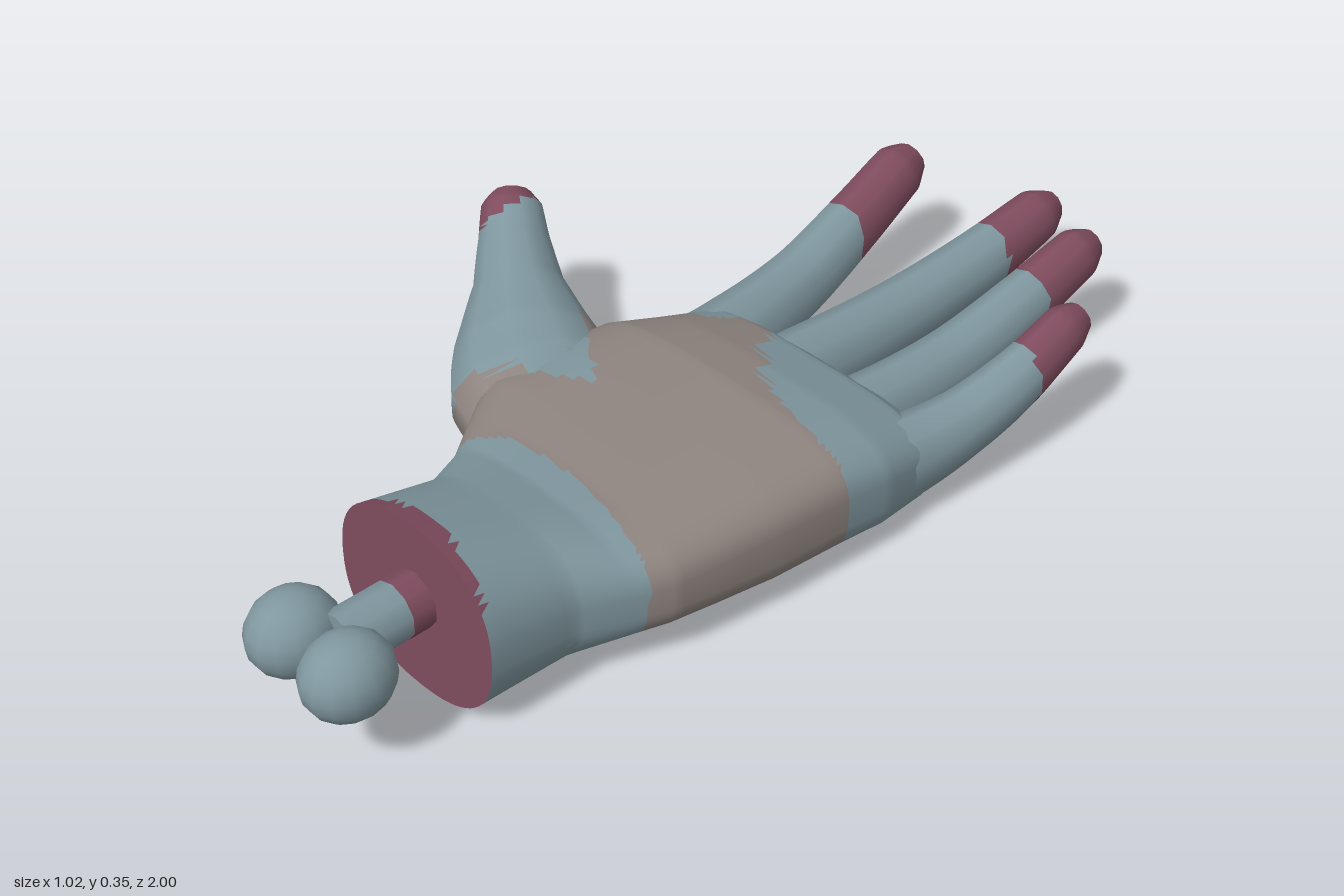
import * as THREE from 'three';

const mat = (name, color) => {
  const m = new THREE.MeshStandardMaterial({ color });
  m.name = name;
  return m;
};

// Skin a stack of rings; paint(point, ringFraction) picks the material slot of each triangle
function loft(rings, paint, startSlot, endSlot) {
  const n = rings[0].length, pos = [], slots = [[], [], []];
  const push = (p) => pos.push(p.x, p.y, p.z) / 3 - 1;
  rings.forEach((r) => r.forEach(push));
  const at = (i) => new THREE.Vector3().fromArray(pos, i * 3);
  const tri = (a, b, c, t) => {
    const mid = at(a).add(at(b)).add(at(c)).divideScalar(3);
    slots[paint(mid, t)].push(a, b, c);
  };
  for (let i = 0; i < rings.length - 1; i++) {
    const t = (i + 0.5) / (rings.length - 1);
    for (let j = 0; j < n; j++) {
      const k = (j + 1) % n, a = i * n + j, b = i * n + k;
      tri(a, b, a + n, t);
      tri(b, b + n, a + n, t);
    }
  }
  const cap = (ring, slot, flip) => {
    const mid = ring.reduce((s, p) => s.add(p), new THREE.Vector3()).divideScalar(n);
    const c = push(mid), ids = ring.map(push);
    ids.forEach((a, j) => {
      const b = ids[(j + 1) % n];
      slots[slot].push(c, flip ? b : a, flip ? a : b);
    });
  };
  cap(rings[0], startSlot, true);
  cap(rings[rings.length - 1], endSlot, false);

  const geo = new THREE.BufferGeometry();
  geo.setAttribute('position', new THREE.Float32BufferAttribute(pos, 3));
  geo.setIndex(slots.flat());
  let start = 0;
  slots.forEach((s, i) => {
    if (s.length) geo.addGroup(start, s.length, i);
    start += s.length;
  });
  geo.computeVertexNormals();
  return geo;
}

// Value of a list of numbers at fraction t, linear between entries
function sample(list, t) {
  const f = t * (list.length - 1), i = Math.min(Math.floor(f), list.length - 2);
  return THREE.MathUtils.lerp(list[i], list[i + 1], f - i);
}

// Outline of the tan patch on the back of the hand, as x, z
const patch = [
  [0.01, -0.26], [-0.02, -0.17], [-0.13, -0.14], [-0.2, -0.01], [-0.15, 0.04], [0.03, 0.17],
  [-0.19, 0.27], [-0.2, 0.32], [-0.06, 0.43], [0.05, 0.38], [0.2, 0.37], [0.4, 0.41],
  [0.52, 0.42], [0.52, 0], [0.38, -0.01], [0.25, -0.04], [0.17, -0.1], [0.08, -0.22],
];
function inPatch(x, z) {
  let inside = false;
  patch.forEach(([ax, az], i) => {
    const [bx, bz] = patch[(i + 1) % patch.length];
    if ((az > z) !== (bz > z) && x < ax + ((z - az) / (bz - az)) * (bx - ax)) inside = !inside;
  });
  return inside;
}

// 0 skin, 1 tan patch, 2 raw flesh
function skinPaint(p) {
  if (p.y > 0.27 && p.z > 0.67 + 0.25 * Math.abs(p.x - 0.195)) return 2;
  if (p.y > 0.17) return inPatch(p.x, p.z) ? 1 : 0;
  return p.z > 0 && p.z < 0.42 && p.x > -0.2 ? 1 : 0;
}

// Palm and wrist sections: z, x min, x max, y min, y max, squareness power
const sections = [
  [-0.26, -0.09, 0.45, 0.04, 0.18, 0.6],
  [-0.22, -0.11, 0.475, 0.008, 0.215, 0.6],
  [-0.1, -0.125, 0.492, 0.015, 0.255, 0.6],
  [0, -0.16, 0.488, 0.02, 0.275, 0.6],
  [0.15, -0.18, 0.478, 0.025, 0.275, 0.6],
  [0.27, -0.17, 0.465, 0.035, 0.272, 0.62],
  [0.37, -0.1, 0.452, 0.045, 0.268, 0.65],
  [0.44, -0.05, 0.425, 0.038, 0.272, 0.7],
  [0.54, 0, 0.388, 0.025, 0.3, 0.78],
  [0.72, 0.003, 0.388, 0.012, 0.36, 0.86],
];

function palmGeometry() {
  const rings = [], sides = 64, steps = 72;
  const power = (v, e) => Math.sign(v) * Math.abs(v) ** e;
  for (let i = 0; i <= steps; i++) {
    const [z, x0, x1, y0, y1, e] = sections[0].map((_, k) => sample(sections.map((s) => s[k]), i / steps));
    rings.push(Array.from({ length: sides }, (_, j) => {
      const a = (j / sides) * Math.PI * 2;
      return new THREE.Vector3(
        (x0 + x1) / 2 + ((x1 - x0) / 2) * power(Math.cos(a), e),
        (y0 + y1) / 2 + ((y1 - y0) / 2) * power(Math.sin(a), e), z);
    }));
  }
  return loft(rings, skinPaint, 0, 2);
}

// Digit swept along stations of x, y, z, half width, half height
function digitGeometry(stations, tipTest, sides) {
  const curve = new THREE.CatmullRomCurve3(stations.map((s) => new THREE.Vector3(s[0], s[1], s[2])));
  const steps = 48, up = new THREE.Vector3(0, 1, 0), rings = [];
  for (let i = 0; i <= steps; i++) {
    const t = i / steps, c = curve.getPoint(t), d = curve.getTangent(t);
    const u = up.clone().cross(d).normalize(), v = d.clone().cross(u);
    const w = sample(stations.map((s) => s[3]), t), h = sample(stations.map((s) => s[4]), t);
    rings.push(Array.from({ length: sides }, (_, j) => {
      const a = ((j + 0.5) / sides) * Math.PI * 2;
      return c.clone().addScaledVector(u, w * Math.cos(a)).addScaledVector(v, h * Math.sin(a));
    }));
  }
  return loft(rings, (p) => (tipTest(p) ? 2 : skinPaint(p)), 0, 2);
}

export function createModel() {
  const hand = new THREE.Group();
  hand.name = 'severedHand';
  const skin = mat('skin', 0x80979f);
  const tan = mat('tanPatch', 0x8f8580);
  const flesh = mat('rawFlesh', 0x7f4c5e);
  const all = [skin, tan, flesh];
  const add = (name, geo, material, parent = hand) => {
    const mesh = new THREE.Mesh(geo, material);
    mesh.name = name;
    parent.add(mesh);
    return mesh;
  };

  add('palmAndWrist', palmGeometry(), all);

  // Fingers, each with the z where its raw tip begins
  const fingers = {
    indexFinger: [-0.61, [
      [-0.04, 0.13, -0.08, 0.075, 0.09], [-0.06, 0.115, -0.25, 0.078, 0.085],
      [-0.09, 0.125, -0.46, 0.066, 0.075], [-0.112, 0.175, -0.64, 0.06, 0.07],
      [-0.13, 0.225, -0.785, 0.056, 0.062], [-0.133, 0.24, -0.832, 0.034, 0.036]]],
    middleFinger: [-0.81, [
      [0.1, 0.13, -0.08, 0.07, 0.09], [0.098, 0.11, -0.28, 0.072, 0.085],
      [0.098, 0.105, -0.54, 0.065, 0.075], [0.1, 0.125, -0.78, 0.06, 0.068],
      [0.1, 0.155, -0.95, 0.054, 0.058], [0.1, 0.16, -1, 0.03, 0.034]]],
    ringFinger: [-0.71, [
      [0.26, 0.13, -0.08, 0.068, 0.088], [0.275, 0.112, -0.25, 0.068, 0.083],
      [0.28, 0.115, -0.48, 0.061, 0.073], [0.284, 0.155, -0.68, 0.056, 0.066],
      [0.286, 0.2, -0.845, 0.05, 0.058], [0.286, 0.208, -0.89, 0.03, 0.034]]],
    littleFinger: [-0.48, [
      [0.4, 0.135, -0.06, 0.07, 0.09], [0.418, 0.12, -0.21, 0.068, 0.085],
      [0.44, 0.14, -0.35, 0.058, 0.07], [0.46, 0.19, -0.48, 0.051, 0.062],
      [0.465, 0.24, -0.59, 0.045, 0.054], [0.466, 0.252, -0.632, 0.028, 0.032]]],
  };
  for (const [name, [tipZ, stations]] of Object.entries(fingers)) {
    add(name, digitGeometry(stations, (p) => p.z < tipZ, 10), all);
  }

  // Thumb
  add('thumb', digitGeometry([
    [-0.04, 0.155, 0.2, 0.16, 0.1], [-0.14, 0.16, 0.165, 0.165, 0.115],
    [-0.23, 0.178, 0.11, 0.14, 0.115], [-0.34, 0.222, 0.035, 0.088, 0.092],
    [-0.415, 0.265, -0.02, 0.07, 0.072], [-0.462, 0.304, -0.057, 0.06, 0.058],
    [-0.482, 0.32, -0.075, 0.038, 0.036],
  ], (p) => p.x < -0.425 && p.x + p.z < -0.43, 12), all);

  // Bone: raw collar, shaft and twin knuckle ends
  const bone = new THREE.Group();
  bone.name = 'bone';
  hand.add(bone);
  const shaft = (name, radius, z0, z1, material) => {
    const geo = new THREE.CylinderGeometry(radius, radius, z1 - z0, 10).rotateX(Math.PI / 2);
    add(name, geo, material, bone).position.set(0.198, 0.205, (z0 + z1) / 2);
  };
  shaft('boneCollar', 0.055, 0.7, 0.765, flesh);
  shaft('boneShaft', 0.054, 0.765, 0.88, skin);
  for (const side of [-1, 1]) {
    const knob = add('boneKnob', new THREE.SphereGeometry(0.08, 14, 10), skin, bone);
    knob.scale.set(0.94, 0.97, 1.06);
    knob.position.set(0.198 + side * 0.071, 0.206, 0.915);
  }
  return hand;
}
